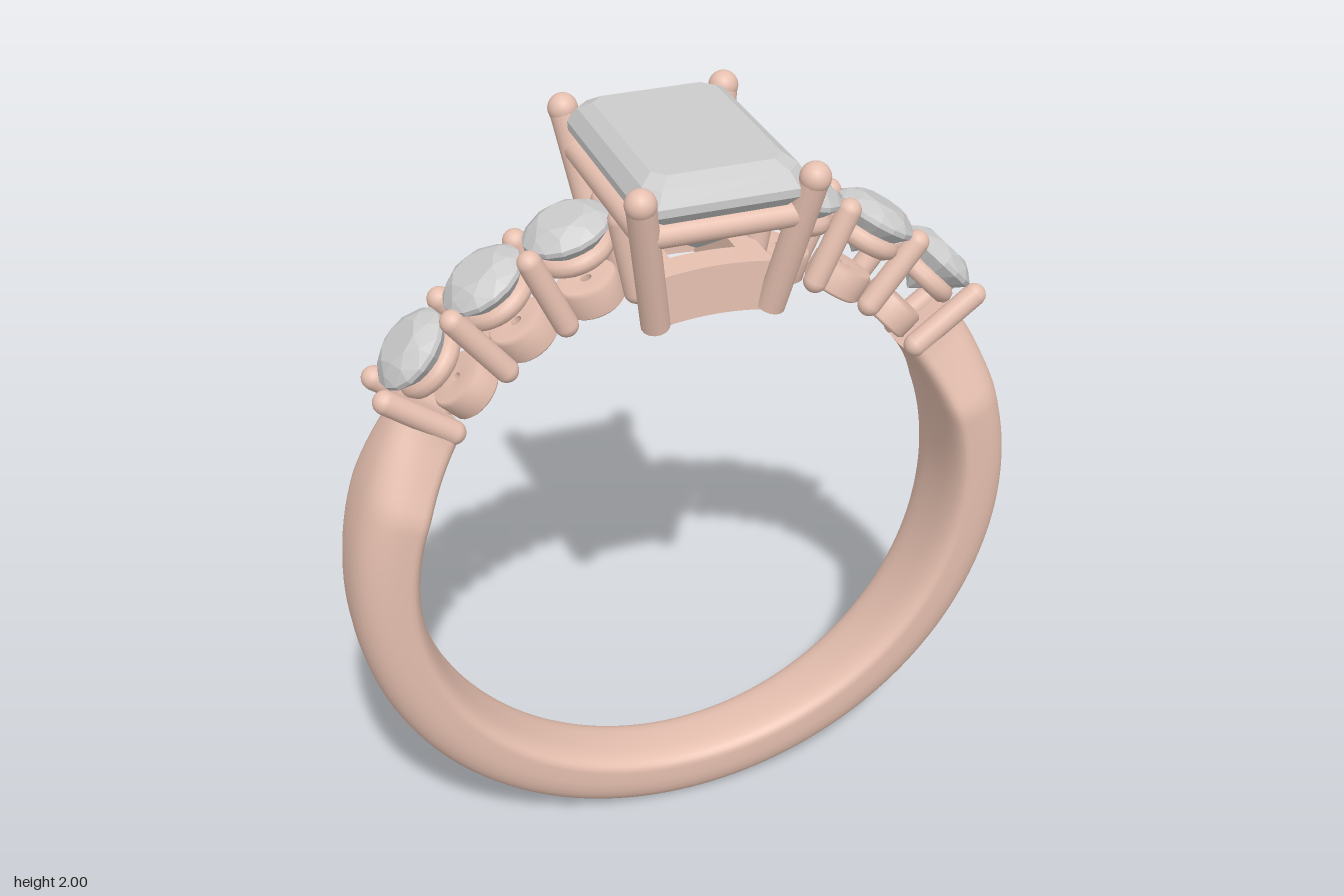
import * as THREE from 'three';
import { ConvexGeometry } from 'three/addons/geometries/ConvexGeometry.js';

const metal = new THREE.MeshStandardMaterial({ color: 0xe6c0b0 });
const stone = new THREE.MeshStandardMaterial({ color: 0xcccccc, flatShading: true });
const CY = 0.895; // height of the band's centre
const RI = 0.72; // inner radius of the band
const rad = THREE.MathUtils.degToRad;
const V = (x, y, z) => new THREE.Vector3(x, y, z);

function add(parent, name, geometry, material = metal) {
  const mesh = new THREE.Mesh(geometry, material);
  mesh.name = name;
  parent.add(mesh);
  return mesh;
}

// Rod from a to b with rounded ends, or flat ends if round is false
function rod(parent, name, a, b, r, round = true) {
  const len = a.distanceTo(b);
  const geo = round ? new THREE.CapsuleGeometry(r, len, 6, 16) : new THREE.CylinderGeometry(r, r, len, 16);
  const mesh = add(parent, name, geo);
  mesh.position.copy(a).add(b).multiplyScalar(0.5);
  mesh.quaternion.setFromUnitVectors(V(0, 1, 0), b.clone().sub(a).normalize());
  return mesh;
}

// Half width of the band: slim below, widest at the shoulders, pinched at the ends
function halfWidth(y) {
  if (y < 1.2) return 0.093 + 0.057 * Math.pow(Math.max(y, 0) / 1.2, 0.85);
  return THREE.MathUtils.lerp(0.15, 0.082, Math.min(1, (y - 1.2) / 0.21));
}

// Band: soft D-shaped sections swept round the finger, with closed ends
function bandGeometry() {
  const N = 120, M = 32, pos = [], idx = [];
  const power = (v, p) => Math.sign(v) * Math.pow(Math.abs(v), p);
  const ring = (t, scale) => {
    const w = halfWidth(CY + 0.89 * Math.sin(t));
    for (let j = 0; j < M; j++) {
      const p = (j / M) * Math.PI * 2, s = Math.sin(p);
      const r = RI + 0.04 + scale * (s > 0 ? 0.13 * power(s, 0.75) : 0.04 * power(s, 0.8));
      pos.push(r * Math.cos(t), CY + r * Math.sin(t), scale * w * power(Math.cos(p), 0.7));
    }
  };
  const t0 = rad(143.5), t1 = rad(396.5);
  ring(t0, 0);
  ring(t0, 1);
  for (let i = 0; i <= N; i++) ring(t0 + ((t1 - t0) * i) / N, 1);
  ring(t1, 1);
  ring(t1, 0);
  for (let i = 0; i < N + 4; i++) {
    for (let j = 0; j < M; j++) {
      const a = i * M + j, b = i * M + ((j + 1) % M);
      idx.push(a, b, a + M, b, b + M, a + M);
    }
  }
  const geo = new THREE.BufferGeometry();
  geo.setAttribute('position', new THREE.Float32BufferAttribute(pos, 3));
  geo.setIndex(idx);
  geo.computeVertexNormals();
  return geo;
}

// Round brilliant, girdle at y = 0
function roundStone() {
  const pts = [V(0, -0.11, 0)];
  const layer = (n, r, y, shift) => {
    for (let i = 0; i < n; i++) {
      const a = ((i + shift) / n) * Math.PI * 2;
      pts.push(V(r * Math.cos(a), y, r * Math.sin(a)));
    }
  };
  layer(8, 0.06, 0.038, 0);
  layer(8, 0.086, 0.025, 0.5);
  layer(16, 0.108, 0.005, 0);
  layer(16, 0.108, -0.007, 0);
  layer(8, 0.052, -0.065, 0.5);
  return new ConvexGeometry(pts);
}

// Step-cut rectangle with clipped corners
function centreStone() {
  const pts = [];
  const layers = [
    [2.0, 0.155, 0.235, 0.03], [1.98, 0.185, 0.268, 0.035], [1.945, 0.207, 0.29, 0.04],
    [1.925, 0.207, 0.29, 0.04], [1.83, 0.125, 0.205, 0.03], [1.775, 0.06, 0.145, 0.015], [1.735, 0.008, 0.09, 0.004],
  ];
  for (const [y, x, z, c] of layers)
    for (const sx of [-1, 1])
      for (const sz of [-1, 1])
        pts.push(V(sx * (x - c), y, sz * z), V(sx * x, y, sz * (z - c)));
  return new ConvexGeometry(pts);
}

// Curved plate following the band, between two angles
function arcPlate(a0, a1, depth) {
  const s = new THREE.Shape();
  s.absarc(0, 0, 0.845, rad(a0), rad(a1), false);
  s.absarc(0, 0, RI, rad(a1), rad(a0), true);
  s.closePath();
  return new THREE.ExtrudeGeometry(s, { depth, bevelEnabled: false, curveSegments: 16 }).translate(0, CY, -depth / 2);
}

// Three set stones down one shoulder
function shoulder(side) {
  const g = new THREE.Group();
  g.name = side > 0 ? 'leftShoulder' : 'rightShoulder';
  const gem = roundStone();
  const collet = new THREE.LatheGeometry(
    [[0.014, 0.8], [0.014, 0.728], [0.07, 0.728], [0.078, 0.736], [0.078, 0.795], [0.07, 0.805], [0.014, 0.8]]
      .map(([x, y]) => new THREE.Vector2(x, y)), 28);
  const gallery = new THREE.TorusGeometry(0.073, 0.026, 10, 32).rotateX(Math.PI / 2);
  const place = (deg) => side * rad(deg - 90);
  for (const deg of [44, 58.2, 72]) {
    const seat = new THREE.Group();
    seat.name = 'stoneSetting';
    seat.position.y = CY;
    seat.rotation.z = place(deg);
    add(seat, 'shoulderStone', gem, stone).position.y = 0.943;
    add(seat, 'collet', collet);
    add(seat, 'galleryRing', gallery).position.y = 0.885;
    g.add(seat);
  }
  // paired prongs between the stones
  for (const deg of [36.4, 51.5, 65, 79]) {
    const pair = new THREE.Group();
    pair.name = 'prongPair';
    pair.position.y = CY;
    pair.rotation.z = place(deg);
    for (const z of [-0.06, 0.06]) rod(pair, 'shoulderProng', V(0, 0.75, z), V(0, 0.943, z), 0.03);
    g.add(pair);
  }
  return g;
}

// Head: curved base frame, four splayed prongs, rails and the centre stone
function head() {
  const g = new THREE.Group();
  g.name = 'head';
  add(g, 'centreStone', centreStone(), stone);
  for (const s of [-1, 1]) {
    add(g, 'basePlate', arcPlate(80, 100, 0.08)).position.z = s * 0.16;
    add(g, 'baseSide', s > 0 ? arcPlate(80, 84.5, 0.26) : arcPlate(95.5, 100, 0.26));
    for (const t of [-1, 1]) {
      const top = V(s * 0.205, 1.963, t * 0.283);
      rod(g, 'mainProng', V(s * 0.143, 1.61, t * 0.195), top, 0.035, false);
      add(g, 'prongTip', new THREE.SphereGeometry(0.037, 20, 14)).position.copy(top);
    }
    rod(g, 'endRail', V(-0.187, 1.87, s * 0.258), V(0.187, 1.87, s * 0.258), 0.03);
    rod(g, 'sideRail', V(s * 0.187, 1.87, -0.258), V(s * 0.187, 1.87, 0.258), 0.03);
  }
  return g;
}

export function createModel() {
  const model = new THREE.Group();
  model.name = 'ring';
  add(model, 'band', bandGeometry());
  model.add(shoulder(1), shoulder(-1), head());
  return model;
}
